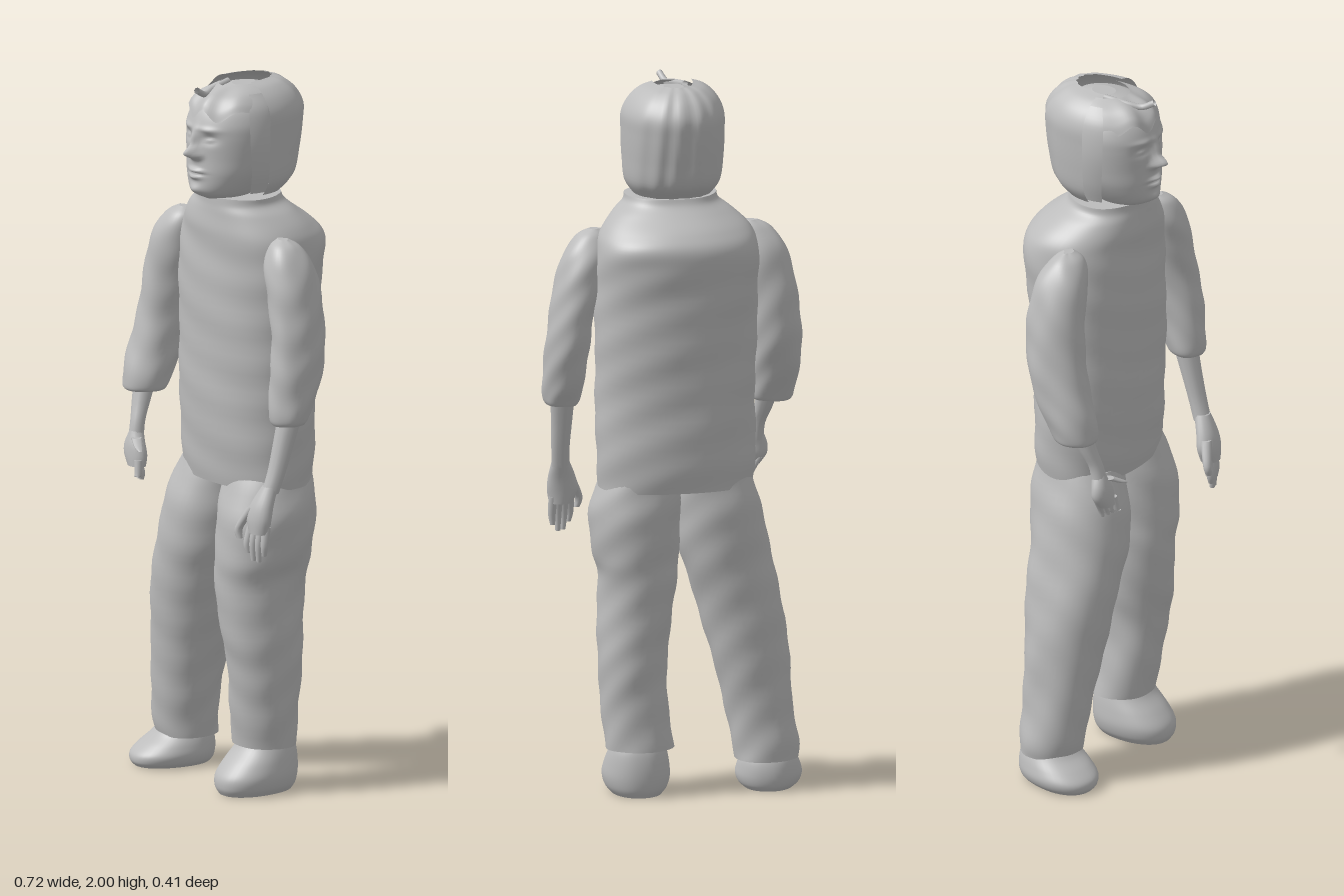
import * as THREE from 'three';

const gray = new THREE.MeshStandardMaterial({ color: 0xbcbcbc, side: THREE.DoubleSide });
gray.name = 'plain gray';

// Smooth interpolation through a list of sections
function sample(rows, t) {
  const n = rows.length - 1, i = Math.min(Math.floor(t * n), n - 1), f = t * n - i;
  const [a, b, c, d] = [i - 1, i, i + 1, i + 2].map(k => rows[Math.max(0, Math.min(n, k))]);
  return b.map((_, k) => 0.5 * (2 * b[k] + (c[k] - a[k]) * f
    + (2 * a[k] - 5 * b[k] + 4 * c[k] - d[k]) * f * f
    + (3 * b[k] - a[k] - 3 * c[k] + d[k]) * f * f * f));
}

// Skin over level sections [y, xMin, xMax, zMin, zMax], listed from the bottom up
function loft(name, rows, { power = 1, seg = 40, per = 6, from = 0, arc = Math.PI * 2, caps = true, warp } = {}) {
  const full = arc > 6.28, w = full ? seg : seg + 1, count = (rows.length - 1) * per;
  const pos = [], index = [];
  const bend = (c, p) => Math.sign(c) * Math.pow(Math.abs(c), p);
  for (let j = 0; j <= count; j++) {
    const [y, x0, x1, z0, z1] = sample(rows, j / count);
    for (let i = 0; i < w; i++) {
      const a = from + arc * i / seg, c = Math.cos(a), s = Math.sin(a);
      const p = [(x0 + x1) / 2 + (x1 - x0) / 2 * bend(c, power), y, (z0 + z1) / 2 + (z1 - z0) / 2 * bend(s, power)];
      pos.push(...(warp ? warp(p, c, s) : p));
    }
  }
  for (let j = 0; j < count; j++) for (let i = 0; i < seg; i++) {
    const k = (i + 1) % w, a = j * w + i, b = j * w + k;
    index.push(a, a + w, b, b, a + w, b + w);
  }
  // Flat ends with their own vertices keep the rims crisp
  if (caps && full) for (const end of [0, count]) {
    const base = pos.length / 3, mid = [0, 0, 0];
    for (let i = 0; i < w; i++) for (let k = 0; k < 3; k++) {
      const v = pos[(end * w + i) * 3 + k];
      pos.push(v);
      mid[k] += v / w;
    }
    pos.push(...mid);
    for (let i = 0; i < w; i++) {
      const a = base + i, b = base + (i + 1) % w;
      index.push(base + w, ...(end ? [b, a] : [a, b]));
    }
  }
  const g = new THREE.BufferGeometry();
  g.setAttribute('position', new THREE.Float32BufferAttribute(pos, 3));
  g.setIndex(index);
  g.computeVertexNormals();
  const mesh = new THREE.Mesh(g, gray);
  mesh.name = name;
  return mesh;
}

// Round limb through points [x, y, z, radius], listed from the bottom up
const limb = (name, pts) => loft(name,
  pts.map(([x, y, z, r]) => [y, x - r, x + r, z - r, z + r]), { seg: 12, per: 4 });

// Soft cloth ripples
const cloth = size => ([x, y, z], c, s) => {
  const r = size * Math.sin(y * 38 + c * 3) * Math.sin(s * 4 + y * 17);
  return [x + c * r, y, z + s * r];
};

// Facial relief: [x, y, width, height, depth]
const relief = [
  [0, 1.815, 0.016, 0.017, 0.038], [0, 1.85, 0.011, 0.03, 0.016], [0.017, 1.806, 0.011, 0.01, 0.012],
  [-0.017, 1.806, 0.011, 0.01, 0.012], [0.046, 1.855, 0.022, 0.013, -0.013], [-0.046, 1.855, 0.022, 0.013, -0.013],
  [0.046, 1.853, 0.013, 0.006, 0.009], [-0.046, 1.853, 0.013, 0.006, 0.009], [0.045, 1.882, 0.03, 0.008, 0.006],
  [-0.045, 1.882, 0.03, 0.008, 0.006], [0, 1.763, 0.026, 0.006, 0.014], [0, 1.745, 0.022, 0.007, 0.012],
  [0, 1.754, 0.03, 0.003, -0.006], [0, 1.708, 0.025, 0.014, 0.01],
];
const faceWarp = ([x, y, z], c, s) => {
  if (s > 0) for (const [rx, ry, w, h, d] of relief)
    z += s * d * Math.exp(-(((x - 0.008 - rx) / w) ** 2) - ((y - ry) / h) ** 2);
  return [x, y, z];
};

function hand(name, palm, fingers) {
  const g = new THREE.Group();
  g.name = name;
  g.add(loft('palm', palm, { seg: 20 }));
  fingers.forEach((f, i) => g.add(limb(i ? 'finger' : 'thumb', f)));
  return g;
}

function foot(name, x, yaw, height) {
  const h = height / 0.13;
  const m = loft(name, [
    [0, -0.07, 0.07, -0.075, 0.14], [0.02 * h, -0.085, 0.085, -0.085, 0.15], [0.05 * h, -0.092, 0.092, -0.09, 0.147],
    [0.085 * h, -0.088, 0.088, -0.09, 0.12], [0.12 * h, -0.08, 0.08, -0.085, 0.085], [0.15 * h, -0.07, 0.07, -0.075, 0.065],
  ], { power: 0.9 });
  m.position.x = x;
  m.rotation.y = yaw;
  return m;
}

export function createModel() {
  const model = new THREE.Group();
  model.name = 'standing figure';

  // Tunic with sloping shoulders and a flat collar
  model.add(loft('tunic', [
    [0.87, -0.21, 0.222, -0.155, 0.115], [0.95, -0.215, 0.226, -0.165, 0.125], [1.1, -0.215, 0.228, -0.17, 0.132],
    [1.25, -0.217, 0.23, -0.178, 0.135], [1.4, -0.22, 0.232, -0.19, 0.135], [1.5, -0.222, 0.233, -0.202, 0.132],
    [1.56, -0.215, 0.228, -0.205, 0.13], [1.6, -0.195, 0.208, -0.175, 0.13], [1.64, -0.155, 0.175, -0.125, 0.126],
    [1.665, -0.122, 0.145, -0.098, 0.122], [1.685, -0.115, 0.138, -0.088, 0.12],
  ], { power: 0.92, seg: 64, warp: cloth(0.003) }));

  // Trouser legs, the right one set wide
  model.add(loft('rightLeg', [
    [0.085, -0.34, -0.165, -0.09, 0.075], [0.13, -0.342, -0.16, -0.09, 0.085], [0.23, -0.328, -0.14, -0.09, 0.098],
    [0.39, -0.316, -0.1, -0.1, 0.12], [0.55, -0.293, -0.055, -0.115, 0.14], [0.68, -0.262, -0.012, -0.125, 0.148],
    [0.8, -0.236, 0.005, -0.14, 0.135], [0.9, -0.205, 0.01, -0.135, 0.1],
  ], { power: 0.92, warp: cloth(0.003) }));
  model.add(loft('leftLeg', [
    [0.13, 0.01, 0.195, -0.085, 0.08], [0.25, 0.022, 0.208, -0.086, 0.1], [0.35, 0.028, 0.214, -0.092, 0.115],
    [0.45, 0.018, 0.215, -0.1, 0.132], [0.6, 0.0, 0.212, -0.118, 0.146], [0.68, -0.004, 0.23, -0.125, 0.148],
    [0.8, -0.008, 0.24, -0.14, 0.135], [0.9, -0.008, 0.21, -0.135, 0.1],
  ], { power: 0.92, warp: cloth(0.003) }));

  // Shoes
  model.add(foot('rightShoe', -0.26, -0.25, 0.09), foot('leftShoe', 0.108, -0.05, 0.13));

  // Sleeves
  model.add(loft('rightSleeve', [
    [1.07, -0.348, -0.24, 0.045, 0.16], [1.085, -0.355, -0.232, 0.035, 0.165], [1.15, -0.363, -0.226, 0.0, 0.155],
    [1.24, -0.362, -0.222, -0.04, 0.13], [1.34, -0.352, -0.212, -0.058, 0.112], [1.44, -0.338, -0.19, -0.058, 0.103],
    [1.52, -0.312, -0.172, -0.045, 0.095], [1.57, -0.275, -0.175, -0.015, 0.07], [1.592, -0.235, -0.2, 0.015, 0.04],
  ], { warp: cloth(0.003) }));
  model.add(loft('leftSleeve', [
    [1.09, 0.26, 0.348, 0.025, 0.118], [1.105, 0.252, 0.356, 0.015, 0.124], [1.15, 0.248, 0.36, -0.01, 0.125],
    [1.24, 0.24, 0.36, -0.04, 0.12], [1.34, 0.23, 0.35, -0.055, 0.108], [1.44, 0.205, 0.335, -0.057, 0.102],
    [1.52, 0.182, 0.31, -0.045, 0.095], [1.57, 0.185, 0.275, -0.015, 0.07], [1.59, 0.205, 0.24, 0.015, 0.04],
  ], { warp: cloth(0.003) }));

  // Forearms
  model.add(limb('rightForearm', [[-0.262, 0.94, 0.16, 0.022], [-0.266, 0.99, 0.15, 0.021], [-0.277, 1.04, 0.13, 0.026], [-0.29, 1.12, 0.1, 0.034]]));
  model.add(limb('leftForearm', [[0.295, 0.9, 0.128, 0.025], [0.3, 0.96, 0.108, 0.026], [0.302, 1.04, 0.085, 0.03], [0.305, 1.13, 0.06, 0.036]]));

  // Hands with thumb first, then four fingers
  model.add(hand('rightHand', [
    [0.87, -0.275, -0.215, 0.148, 0.192], [0.9, -0.295, -0.215, 0.14, 0.192], [0.93, -0.295, -0.225, 0.14, 0.188], [0.965, -0.28, -0.245, 0.137, 0.177],
  ], [
    [[-0.193, 0.925, 0.198, 0.007], [-0.208, 0.932, 0.192, 0.012], [-0.24, 0.95, 0.175, 0.015]],
    ...[0, 1, 2, 3].map(i => [[-0.242 + i * 0.008, 0.828 + i * 0.007, 0.155 + i * 0.013, 0.006],
      [-0.246 + i * 0.009, 0.85, 0.153 + i * 0.011, 0.01], [-0.268 + i * 0.014, 0.89, 0.155 + i * 0.008, 0.012]]),
  ]));
  model.add(hand('leftHand', [
    [0.79, 0.255, 0.32, 0.135, 0.185], [0.83, 0.24, 0.327, 0.13, 0.185], [0.87, 0.25, 0.325, 0.122, 0.175], [0.92, 0.273, 0.318, 0.105, 0.15],
  ], [
    [[0.236, 0.77, 0.188, 0.009], [0.232, 0.8, 0.186, 0.012], [0.262, 0.86, 0.162, 0.016]],
    ...[0, 1, 2, 3].map(i => [[0.262 + i * 0.016, 0.732 - 0.024 * Math.sin(i), 0.178 - i * 0.006, 0.007],
      [0.258 + i * 0.018, 0.76, 0.178 - i * 0.006, 0.011], [0.262 + i * 0.016, 0.81, 0.165 - i * 0.004, 0.013]]),
  ]));

  // Head with modelled face
  model.add(loft('head', [
    [1.675, -0.045, 0.06, -0.02, 0.12], [1.7, -0.072, 0.087, -0.03, 0.16], [1.75, -0.1, 0.115, -0.06, 0.165],
    [1.8, -0.112, 0.127, -0.085, 0.163], [1.86, -0.118, 0.133, -0.1, 0.163], [1.9, -0.115, 0.13, -0.1, 0.157],
    [1.94, -0.097, 0.113, -0.095, 0.135], [1.97, -0.065, 0.08, -0.085, 0.09], [1.985, -0.02, 0.035, -0.04, 0.03],
  ], { seg: 96, per: 12, warp: faceWarp }));

  // Hair shell, open at the front and crown
  const hair = [
    [1.69, -0.098, 0.118, -0.1], [1.73, -0.122, 0.143, -0.14], [1.8, -0.13, 0.15, -0.158], [1.87, -0.132, 0.153, -0.17],
    [1.92, -0.13, 0.152, -0.172], [1.96, -0.112, 0.132, -0.152], [1.988, -0.08, 0.1, -0.12], [2, -0.045, 0.065, -0.088],
  ].map(([y, a, b, z]) => [y, a, b, z, 0.03 - z]);
  model.add(loft('backHair', hair, {
    from: Math.PI, arc: Math.PI, seg: 48, power: 0.9,
    warp: ([x, y, z], c, s) => [x, y, z + 0.003 * s * Math.sin(c * 18 + y * 10)],
  }));

  // Locks hanging beside the face
  for (const [side, a] of [['left', -0.05], ['right', Math.PI - 0.38]])
    model.add(loft(side + 'Lock', [
      [1.7, -0.105, 0.125, -0.1, 0.13], [1.76, -0.12, 0.143, -0.12, 0.15], [1.85, -0.126, 0.147, -0.13, 0.165], [1.93, -0.113, 0.132, -0.13, 0.155], [1.975, -0.08, 0.1, -0.1, 0.11],
    ], { from: a, arc: 0.43, seg: 8 }));

  // Wavy fringe over the forehead
  model.add(loft('fringe', [
    [1.92, -0.113, 0.129, -0.12, 0.158], [1.945, -0.102, 0.118, -0.11, 0.146], [1.97, -0.082, 0.098, -0.1, 0.118], [1.988, -0.05, 0.068, -0.09, 0.07],
  ], {
    from: 0, arc: Math.PI, seg: 48,
    warp: ([x, y, z], c) => [x, y + (1.99 - y) * 0.22 * Math.sin(c * 9), z],
  }));

  // Loose tuft sweeping forward
  const tuft = new THREE.Mesh(new THREE.TubeGeometry(new THREE.CatmullRomCurve3([
    new THREE.Vector3(-0.03, 1.985, 0.02), new THREE.Vector3(-0.015, 1.975, 0.09),
    new THREE.Vector3(0.0, 1.97, 0.125), new THREE.Vector3(0.01, 1.988, 0.16)]), 16, 0.009, 8), gray);
  tuft.name = 'tuft';
  model.add(tuft);
  return model;
}
